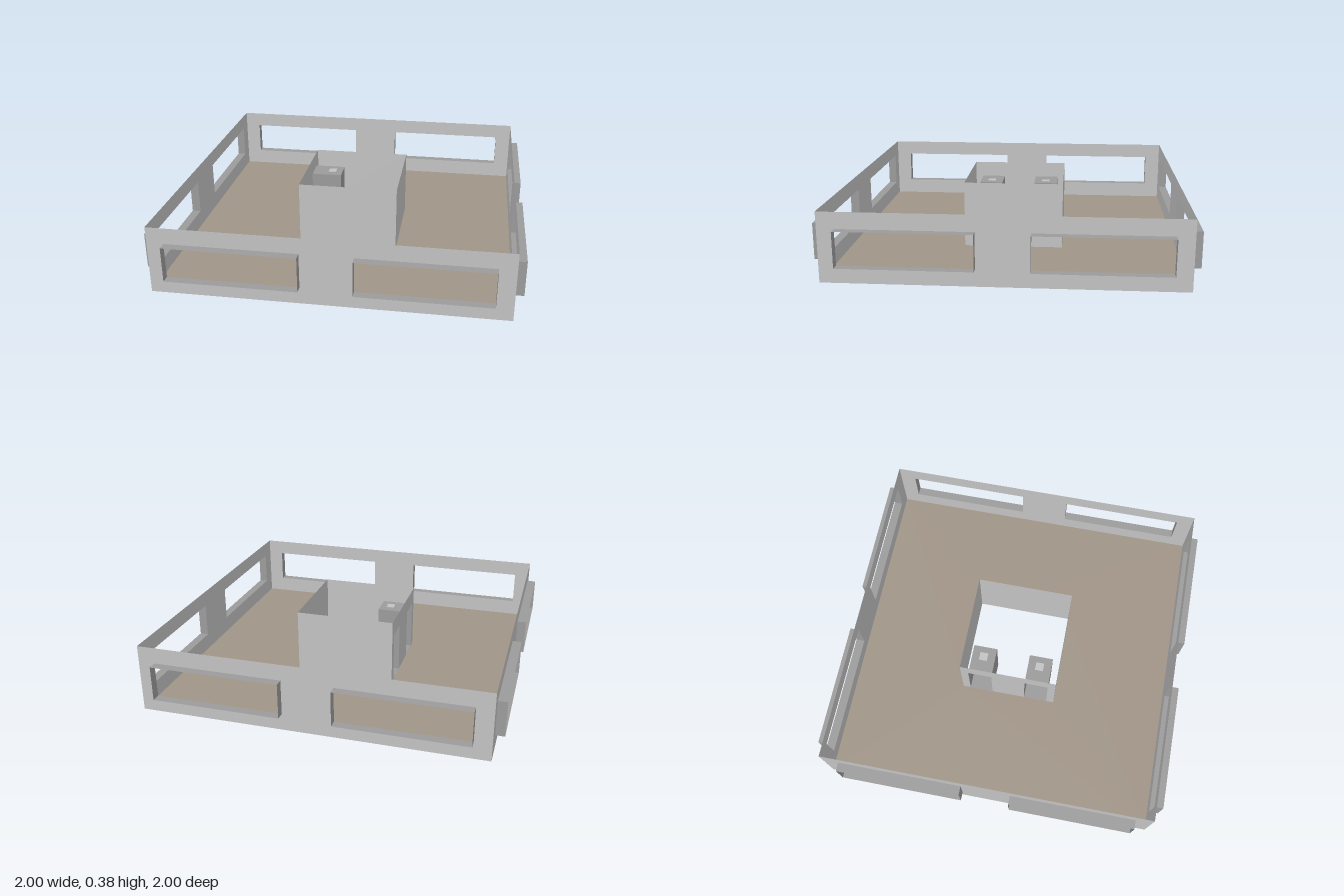
import * as THREE from 'three';
import { mergeGeometries } from 'three/addons/utils/BufferGeometryUtils.js';

const H = 0.38;       // wall height
const OUT = 0.95;     // half width of the outer walls
const CORE = 0.285;   // half width of the central shaft

function material(name, color) {
  const m = new THREE.MeshStandardMaterial({ color, side: THREE.DoubleSide });
  m.name = name;
  return m;
}

function rect(x0, y0, x1, y1, Type = THREE.Shape) {
  const p = new Type();
  p.moveTo(x0, y0);
  p.lineTo(x1, y0);
  p.lineTo(x1, y1);
  p.lineTo(x0, y1);
  p.closePath();
  return p;
}

// Flat sheet with rectangular openings, each [x0, y0, x1, y1]
function sheet(bounds, openings = []) {
  const shape = rect(...bounds);
  for (const o of openings) shape.holes.push(rect(...o, THREE.Path));
  return new THREE.ShapeGeometry(shape);
}

// Four thin sides around an opening, running from z = 0 to z = depth
function sleeve([x0, y0, x1, y1], depth) {
  const w = x1 - x0, h = y1 - y0, cx = (x0 + x1) / 2, cy = (y0 + y1) / 2;
  const parts = [];
  for (const s of [-1, 1]) {
    parts.push(new THREE.PlaneGeometry(w, depth).rotateX(-s * Math.PI / 2)
      .translate(cx, cy + s * h / 2, depth / 2));
    parts.push(new THREE.PlaneGeometry(depth, h).rotateY(s * Math.PI / 2)
      .translate(cx + s * w / 2, cy, depth / 2));
  }
  return mergeGeometries(parts);
}

export function createModel() {
  const wallMat = material('wallGrey', 0xc2c2c2);
  const frameMat = material('frameGrey', 0x9b9b9b);
  const floorMat = material('floorTan', 0x9f9486);
  const model = new THREE.Group();
  model.name = 'buildingStorey';

  const add = (parent, name, geometry, mat) => {
    const mesh = new THREE.Mesh(geometry, mat);
    mesh.name = name;
    parent.add(mesh);
    return mesh;
  };

  // Floor with the shaft opening
  const floor = sheet([-OUT, -OUT, OUT, OUT], [[-CORE, -CORE, CORE, CORE]]);
  add(model, 'floor', floor.rotateX(-Math.PI / 2), floorMat);

  // Four outer walls, two projecting window frames in each
  const windows = [[-0.857, 0.095, -0.142, 0.29], [0.142, 0.095, 0.857, 0.29]];
  ['front', 'left', 'back', 'right'].forEach((side, i) => {
    const group = new THREE.Group();
    group.name = side + 'Facade';
    group.rotation.y = i * Math.PI / 2;
    add(group, 'outerWall', sheet([-OUT, 0, OUT, H], windows).translate(0, 0, OUT), wallMat);
    for (const w of windows) {
      add(group, 'windowFrame', sleeve(w, 0.05).translate(0, 0, OUT), frameMat);
    }
    model.add(group);
  });

  // Central shaft, with two doorways in its right wall
  const doors = [[-0.24, 0.001, -0.1, 0.29], [0.1, 0.001, 0.24, 0.29]];
  ['front', 'left', 'back', 'right'].forEach((side, i) => {
    const group = new THREE.Group();
    group.name = side + 'Shaft';
    group.rotation.y = i * Math.PI / 2;
    const openings = side === 'right' ? doors : [];
    add(group, 'shaftWall', sheet([-CORE, 0, CORE, H], openings).translate(0, 0, CORE), wallMat);
    for (const d of openings) {
      // Recess behind the doorway, closed at its inner end
      add(group, 'doorRecess', sleeve(d, 0.18).translate(0, 0, CORE - 0.18), frameMat);
      add(group, 'recessBack', sheet(d).translate(0, 0, CORE - 0.18), frameMat);
      // Small plate on the recess roof
      const plate = new THREE.BoxGeometry(0.048, 0.006, 0.048);
      add(group, 'roofPlate', plate.translate((d[0] + d[2]) / 2, 0.291, 0.167), wallMat);
    }
    model.add(group);
  });

  return model;
}
